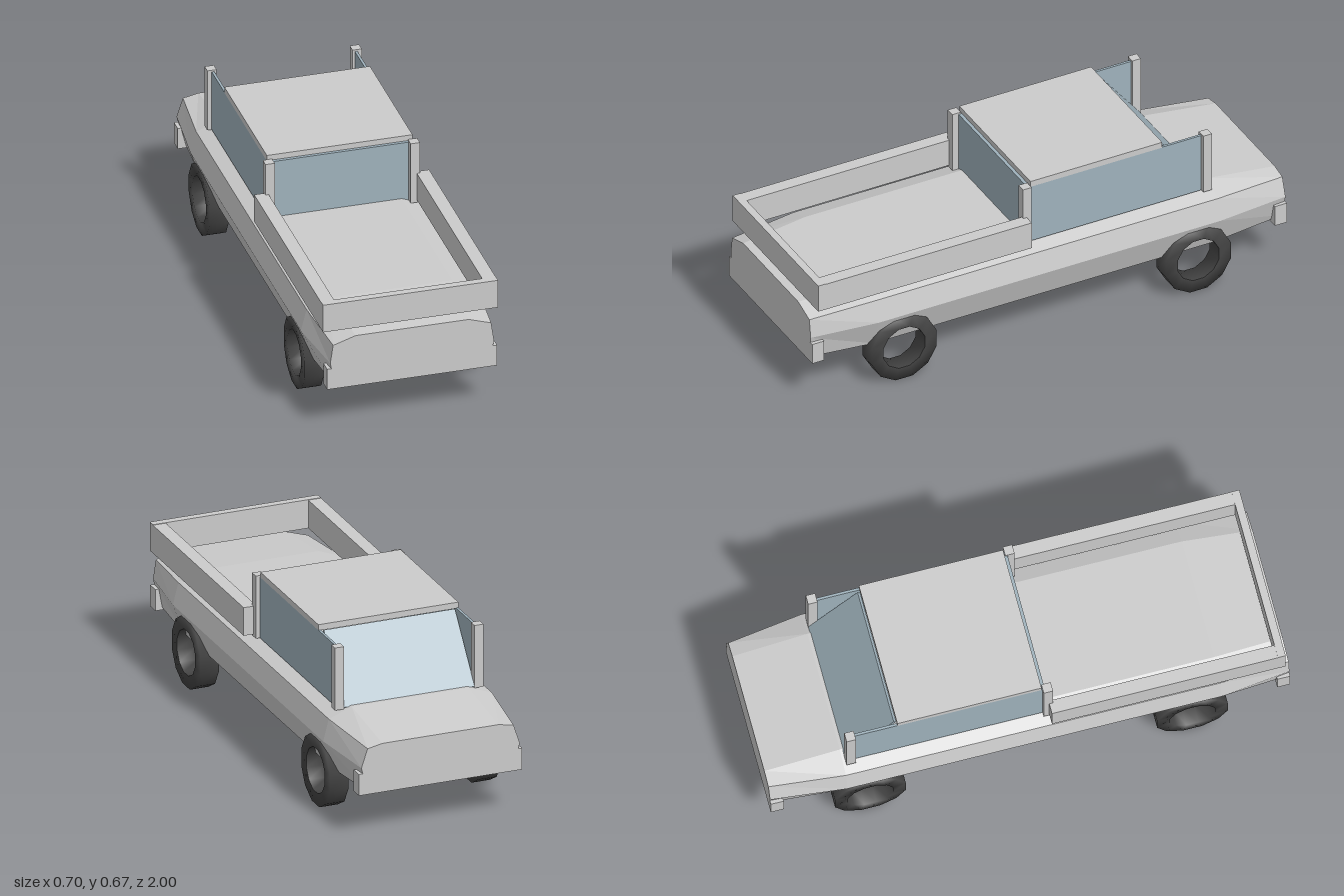
import * as THREE from 'three';

const grey = new THREE.MeshStandardMaterial({ color: 0xcccccc });
const flatGrey = new THREE.MeshStandardMaterial({ color: 0xcccccc, flatShading: true });
const glass = new THREE.MeshStandardMaterial({ color: 0x9fb2bc });
const rubber = new THREE.MeshStandardMaterial({ color: 0x444444 });

// Box given by its minimum and maximum corners
function box(name, material, [x0, y0, z0], [x1, y1, z1]) {
  const mesh = new THREE.Mesh(new THREE.BoxGeometry(x1 - x0, y1 - y0, z1 - z0), material);
  mesh.position.set((x0 + x1) / 2, (y0 + y1) / 2, (z0 + z1) / 2);
  mesh.name = name;
  return mesh;
}

// Hull lofted along z; each section lists half its outline from bottom to top
function bodyGeometry() {
  const middle = [[0.31, 0.17], [0.352, 0.288], [0.33, 0.375], [0.237, 0.41]];
  const sections = [
    { z: -1, half: [[0.295, 0.188], [0.32, 0.285], [0.295, 0.36], [0.235, 0.372]] },
    { z: -0.71, half: middle },
    { z: 0.73, half: middle },
    { z: 1, half: [[0.3, 0.188], [0.318, 0.285], [0.307, 0.36], [0.22, 0.388]] },
  ];
  const rings = sections.map(({ z, half }) => [
    ...half.map(([x, y]) => [x, y, z]),
    ...half.slice().reverse().map(([x, y]) => [-x, y, z]),
  ]);
  const pos = [];
  const tri = (a, b, c) => pos.push(...a, ...b, ...c);
  const n = rings[0].length;
  for (let s = 0; s < rings.length - 1; s++) {
    for (let i = 0; i < n; i++) {
      const j = (i + 1) % n;
      const [a, b, c, d] = [rings[s][i], rings[s][j], rings[s + 1][j], rings[s + 1][i]];
      tri(a, b, c);
      tri(a, c, d);
    }
  }
  // End caps
  const back = rings[0], front = rings[rings.length - 1];
  for (let i = 1; i < n - 1; i++) {
    tri(front[0], front[i], front[i + 1]);
    tri(back[0], back[i + 1], back[i]);
  }
  const geometry = new THREE.BufferGeometry();
  geometry.setAttribute('position', new THREE.Float32BufferAttribute(pos, 3));
  geometry.computeVertexNormals();
  return geometry;
}

// Hollow twelve-sided tyre, turned about the x axis
function tyreGeometry() {
  const w = 0.0375, outer = 0.141, inner = 0.09;
  const profile = [[inner, -w], [outer, -w], [outer, w], [inner, w], [inner, -w]]
    .map(([r, y]) => new THREE.Vector2(r, y));
  return new THREE.LatheGeometry(profile, 12, Math.PI / 12).rotateZ(Math.PI / 2);
}

export function createModel() {
  const model = new THREE.Group();
  model.name = 'pickupTruck';

  const body = new THREE.Mesh(bodyGeometry(), flatGrey);
  body.name = 'body';
  model.add(body);

  // Bumpers at both ends
  model.add(box('rearBumper', grey, [-0.33, 0.176, 0.95], [0.33, 0.262, 1]));
  model.add(box('hoodBumper', grey, [-0.33, 0.176, -1], [0.33, 0.262, -0.95]));

  // Cab roof, rear window and sloping windscreen
  model.add(box('roof', grey, [-0.283, 0.643, -0.5], [0.283, 0.667, 0.055]));
  model.add(box('rearWindow', glass, [-0.265, 0.4, 0.05], [0.265, 0.645, 0.068]));
  const rise = 0.24, run = 0.19;
  const windscreen = new THREE.Mesh(
    new THREE.BoxGeometry(0.53, Math.hypot(rise, run), 0.012), glass);
  windscreen.position.set(0, 0.403 + rise / 2, -0.6);
  windscreen.rotation.x = Math.atan2(run, rise);
  windscreen.name = 'windscreen';
  model.add(windscreen);

  // Bed tailboard
  model.add(box('tailboard', grey, [-0.34, 0.41, 0.95], [0.34, 0.525, 0.98]));

  const tyre = tyreGeometry();
  for (const [side, s] of [['left', 1], ['right', -1]]) {
    const sided = (name, material, lo, hi) => {
      const mesh = box(side + name, material, lo, hi);
      mesh.position.x *= s;
      model.add(mesh);
    };
    sided('SideWindow', glass, [0.273, 0.4, -0.67], [0.283, 0.645, 0.065]);
    sided('FrontPost', grey, [0.264, 0.4, -0.7], [0.3, 0.652, -0.664]);
    sided('RearPost', grey, [0.264, 0.4, 0.059], [0.3, 0.652, 0.095]);
    sided('BedWall', grey, [0.288, 0.41, 0.08], [0.34, 0.523, 0.95]);

    for (const [end, z] of [['Front', -0.62], ['Rear', 0.62]]) {
      const wheel = new THREE.Mesh(tyre, rubber);
      wheel.position.set(s * 0.3075, 0.137, z);
      wheel.name = side + end + 'Wheel';
      model.add(wheel);
    }
  }
  return model;
}
